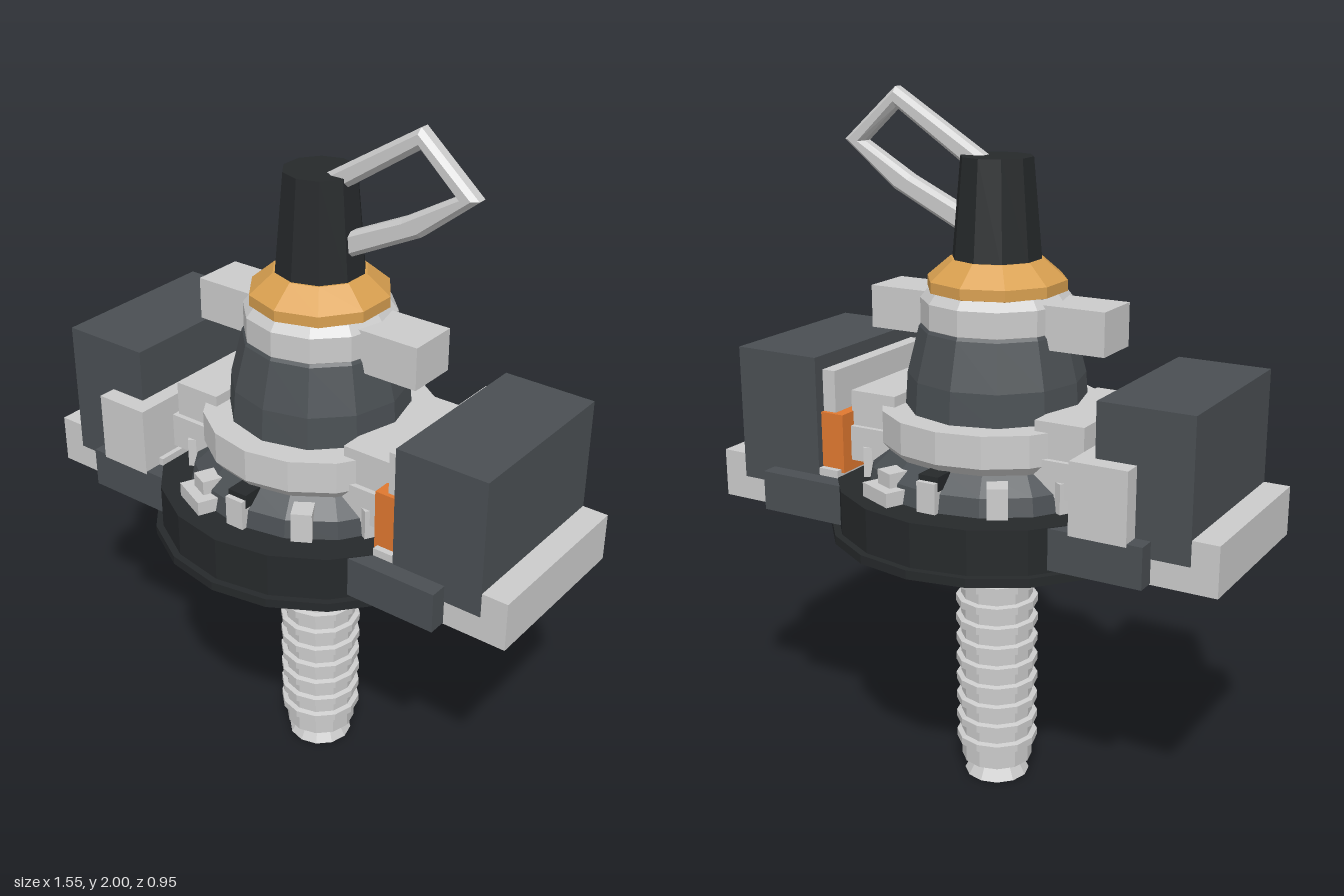
import * as THREE from 'three';

const mat = (color) => new THREE.MeshStandardMaterial({ color, flatShading: true });

export function createModel() {
  const model = new THREE.Group();
  const grey = mat(0xcccccc), black = mat(0x26292b), dark = mat(0x4a4f53);
  const gold = mat(0xd9a050), orange = mat(0xe07830);

  function add(name, geometry, material, parent = model) {
    const mesh = new THREE.Mesh(geometry, material);
    mesh.name = name;
    parent.add(mesh);
    return mesh;
  }
  // Box given by its limits on each axis
  function box(name, x0, x1, y0, y1, z0, z1, material, parent) {
    const mesh = add(name, new THREE.BoxGeometry(x1 - x0, y1 - y0, z1 - z0), material, parent);
    mesh.position.set((x0 + x1) / 2, (y0 + y1) / 2, (z0 + z1) / 2);
    return mesh;
  }
  // Turned part, profile listed as [radius, height] from bottom to top
  function turned(name, profile, sides, material) {
    const points = profile.map(([r, y]) => new THREE.Vector2(r, y));
    return add(name, new THREE.LatheGeometry(points, sides), material);
  }

  // Threaded stem with a flared tip
  const stem = [[0, 0], [0.096, 0], [0.07, 0.045], [0.105, 0.05]];
  for (let i = 0; i < 11; i++) {
    const y = 0.105 + i * 0.063;
    stem.push([0.105, y], [0.12, y + 0.004], [0.12, y + 0.026], [0.105, y + 0.03]);
  }
  stem.push([0.105, 0.8]);
  turned('threadedStem', stem, 12, grey);

  // Round base and its flange
  turned('baseFlange', [[0, 0.79], [0.475, 0.79], [0.475, 0.815], [0.455, 0.815]], 18, black);
  turned('baseDisc', [[0.455, 0.815], [0.455, 0.94], [0, 0.94]], 18, black);

  // Collar and tapered body
  turned('lowerCollar', [[0.365, 0.94], [0.355, 0.99], [0.3, 1.04], [0, 1.05]], 16, dark);
  turned('bodyRing', [[0.3, 1.03], [0.325, 1.06], [0.325, 1.15], [0.24, 1.15]], 16, grey);
  turned('body', [[0.255, 1.14], [0.248, 1.24], [0.215, 1.37], [0.175, 1.43]], 12, dark);
  turned('neckRing', [[0.19, 1.35], [0.21, 1.38], [0.21, 1.45], [0.19, 1.475], [0, 1.475]], 12, grey);
  box('crossBar', -0.363, 0.363, 1.34, 1.46, -0.075, 0.075, grey);

  // Gold nut and black knob
  turned('goldNut', [[0.16, 1.465], [0.195, 1.475], [0.195, 1.505], [0.13, 1.56], [0, 1.56]], 10, gold);
  turned('knob', [[0.126, 1.54], [0.1, 1.83], [0, 1.83]], 10, black);

  // Wire loop lever
  const toVectors = (list) => list.map(([x, y]) => new THREE.Vector2(x, y));
  const loop = new THREE.Shape(toVectors(
    [[0.03, 1.815], [0.31, 1.985], [0.465, 1.852], [0.315, 1.735], [0.1, 1.63], [0.03, 1.64]]));
  loop.holes.push(new THREE.Path(toVectors(
    [[0.06, 1.795], [0.09, 1.67], [0.27, 1.752], [0.433, 1.848], [0.312, 1.96]])));
  const lever = add('leverLoop', new THREE.ExtrudeGeometry(loop, {
    depth: 0.026, bevelEnabled: true, bevelThickness: 0.014, bevelSize: 0.012, bevelSegments: 1,
  }), grey);
  lever.position.z = -0.013;

  // Long bars along the front and back of the base
  for (const s of [-1, 1]) {
    box('sideBar', -0.592, 0.592, 0.823, 0.938, s * 0.28 - 0.028, s * 0.28 + 0.028, dark);
  }

  // Matching end modules
  for (const s of [-1, 1]) {
    const end = new THREE.Group();
    end.name = s > 0 ? 'leftModule' : 'rightModule';
    model.add(end);
    const span = (name, a, b, y0, y1, half, m) =>
      box(name, Math.min(s * a, s * b), Math.max(s * a, s * b), y0, y1, -half, half, m, end);
    span('modulePlate', 0.37, 0.775, 0.82, 0.96, 0.256, grey);
    span('moduleBlock', 0.433, 0.7, 0.89, 1.28, 0.258, dark);
    span('innerBlock', 0.22, 0.375, 0.98, 1.08, 0.2, grey);
    span('innerStep', 0.22, 0.365, 1.08, 1.18, 0.185, grey);
  }
  box('rightSleeve', -0.548, -0.385, 0.93, 1.13, -0.31, 0.31, grey);
  box('orangePad', 0.36, 0.44, 0.95, 1.12, -0.238, 0.238, orange);
  box('padBacking', 0.392, 0.436, 0.95, 1.24, -0.225, 0.225, grey);

  // Small lugs around the collar; the wide pair sits diagonally opposite
  for (let i = 0; i < 12; i++) {
    if (i % 6 === 3) continue;
    const wide = i % 6 === 5;
    const lug = new THREE.Group();
    lug.name = 'collarLug';
    lug.rotation.y = i * Math.PI / 6 + (wide ? 0.1 : 0);
    if (wide) {
      box('lugFoot', -0.06, 0.06, 0.94, 0.98, 0.32, 0.405, grey, lug);
      box('lugPost', -0.03, 0.03, 0.98, 1.02, 0.31, 0.375, grey, lug);
    } else {
      box('lugPost', -0.028, 0.028, 0.94, 1.025, 0.31, 0.375, grey, lug);
    }
    model.add(lug);
  }
  for (const s of [-1, 1]) {
    box('collarTab', -0.03, 0.03, 1.0, 1.04, s * 0.325 - 0.035, s * 0.325 + 0.035, black);
  }

  return model;
}
